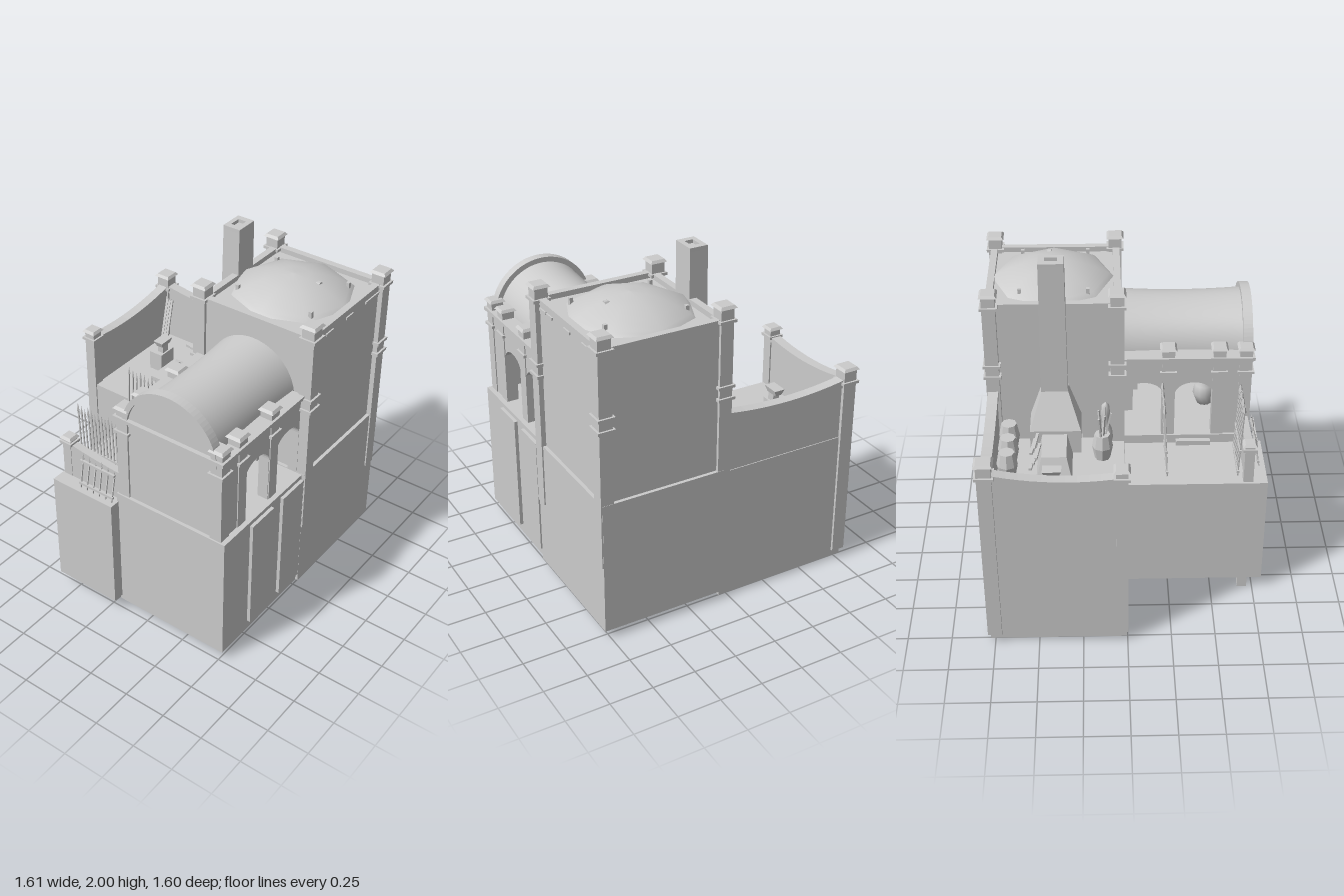
import * as THREE from 'three';

const mat = new THREE.MeshStandardMaterial({ color: 0xcccccc, flatShading: true, side: THREE.DoubleSide });
const smooth = new THREE.MeshStandardMaterial({ color: 0xcccccc, side: THREE.DoubleSide });

export function createModel() {
  const root = new THREE.Group();
  const add = (name, geo, x = 0, y = 0, z = 0, m = mat) => {
    const mesh = new THREE.Mesh(geo, m);
    mesh.name = name;
    mesh.position.set(x, y, z);
    root.add(mesh);
    return mesh;
  };
  // Box from its limits
  const box = (name, x0, x1, y0, y1, z0, z1) =>
    add(name, new THREE.BoxGeometry(x1 - x0, y1 - y0, z1 - z0), (x0 + x1) / 2, (y0 + y1) / 2, (z0 + z1) / 2);
  // Box without its underside
  const shell = (...a) => {
    const mesh = box(...a);
    const idx = Array.from(mesh.geometry.index.array);
    mesh.geometry.clearGroups();
    mesh.geometry.setIndex(idx.filter((_, i) => i < 18 || i >= 24));
    return mesh;
  };
  // Four-sided frustum with its own top and bottom rectangles [x0, x1, z0, z1]
  const frustum = (name, b, y0, t, y1) => {
    const g = new THREE.BoxGeometry(1, 1, 1), p = g.attributes.position;
    for (let i = 0; i < p.count; i++) {
      const up = p.getY(i) > 0, r = up ? t : b;
      p.setXYZ(i, p.getX(i) < 0 ? r[0] : r[1], up ? y1 : y0, p.getZ(i) < 0 ? r[2] : r[3]);
    }
    g.computeVertexNormals();
    return add(name, g);
  };
  // Thin square bar between two points
  const bar = (name, a, b, w = 0.008) => {
    const va = new THREE.Vector3(...a), vb = new THREE.Vector3(...b);
    const m = add(name, new THREE.BoxGeometry(w, w, va.distanceTo(vb)));
    m.position.copy(va).add(vb).multiplyScalar(0.5);
    m.lookAt(vb);
    return m;
  };
  // Square pillar with bands and a bevelled cap
  const pillar = (name, x, z, y0, y1, w, bands) => {
    const h = w / 2, c = h + 0.012;
    box(name, x - h, x + h, y0, y1 - 0.015, z - h, z + h);
    frustum(name + 'Cap', [x - c, x + c, z - c, z + c], y1 - 0.015, [x - h, x + h, z - h, z + h], y1);
    bands.forEach(y => box(name + 'Band', x - c, x + c, y - 0.008, y + 0.008, z - c, z + c));
  };

  // Foundations, open underneath
  shell('towerBase', 0.05, 0.78, 0.05, 0.84, -0.785, 0);
  shell('hallBase', 0.045, 0.765, 0.05, 0.835, 0, 0.735);
  shell('courtyardBase', -0.775, 0.06, 0.02, 0.82, -0.775, -0.005);
  shell('terraceBase', -0.36, 0.055, 0.08, 0.78, 0, 0.8);
  for (const [z0, z1] of [[0.01, 0.21], [0.3, 0.5]]) box('basePanel', 0.74, 0.785, 0.11, 0.81, z0, z1);
  box('basePanel', 0.015, 0.06, 0.11, 0.81, 0.3, 0.5);

  // Tower with parapet and corner pillars
  box('tower', 0.05, 0.76, 0.84, 1.69, -0.765, -0.02);
  for (const [x0, x1, z0, z1] of [[0.045, 0.765, -0.77, -0.73], [0.045, 0.765, -0.055, -0.015],
    [0.045, 0.085, -0.77, -0.015], [0.725, 0.765, -0.77, -0.015]])
    box('parapet', x0, x1, 1.69, 1.72, z0, z1);
  for (const x of [0.05, 0.75]) for (const z of [-0.745, -0.04])
    pillar('towerPillar', x, z, 0.46, 1.795, 0.076, [1.34, 1.27, 1.71]);
  for (const z of [-0.12, -0.2, -0.4, -0.6, -0.67]) {
    box('wallVent', 0.755, 0.768, 1.66, 1.675, z - 0.035, z + 0.035);
  }

  // Low dome
  const domeLine = [[0.345, 1.70], [0.32, 1.72], [0.25, 1.755], [0.17, 1.785], [0.09, 1.803], [0, 1.81]];
  add('dome', new THREE.LatheGeometry(domeLine.map(p => new THREE.Vector2(...p)), 8), 0.4, 0, -0.4, smooth);
  frustum('domeHatch', [0.48, 0.56, -0.45, -0.39], 1.76, [0.54, 0.56, -0.43, -0.41], 1.795);
  for (const x of [0.17, 0.64]) for (const z of [-0.58, -0.2]) box('roofPeg', x - 0.01, x + 0.01, 1.69, 1.75, z - 0.01, z + 0.01);

  // Hall side walls with two arched openings each
  const side = new THREE.Shape();
  side.moveTo(-0.02, 0.83).lineTo(0.72, 0.83).lineTo(0.72, 1.35).lineTo(-0.02, 1.35).closePath();
  for (const c of [0.11, 0.4]) {
    const hole = new THREE.Path();
    hole.moveTo(c - 0.11, 0.835).lineTo(c + 0.11, 0.835).lineTo(c + 0.11, 1.11);
    hole.absellipse(c, 1.11, 0.11, 0.08, 0, Math.PI, false, 0);
    hole.lineTo(c - 0.11, 0.835);
    side.holes.push(hole);
  }
  for (const x of [0.12, 0.73]) {
    const g = new THREE.ExtrudeGeometry(side, { depth: 0.06, bevelEnabled: false, curveSegments: 10 });
    g.rotateY(-Math.PI / 2);
    add('arcadeWall', g, x, 0, 0);
  }

  // Hall front wall, its round gable and the barrel vault
  const gable = new THREE.Shape();
  gable.moveTo(0.06, 0.83).lineTo(0.73, 0.83).lineTo(0.73, 1.35).lineTo(0.7, 1.35);
  gable.absarc(0.4, 1.31, 0.3, 0.13, Math.PI - 0.13, false);
  gable.lineTo(0.06, 1.35).closePath();
  add('frontWall', new THREE.ExtrudeGeometry(gable, { depth: 0.035, bevelEnabled: false, curveSegments: 20 }), 0, 0, 0.68);
  const rim = new THREE.Shape();
  rim.absarc(0.4, 1.31, 0.305, 0, Math.PI, false);
  rim.absarc(0.4, 1.31, 0.275, Math.PI, 0, true);
  add('gableRim', new THREE.ExtrudeGeometry(rim, { depth: 0.055, bevelEnabled: false, curveSegments: 20 }), 0, 0, 0.675);
  const vault = new THREE.CylinderGeometry(0.275, 0.275, 0.7, 24, 8, true, -Math.PI / 2, Math.PI);
  vault.rotateX(-Math.PI / 2);
  const vp = vault.attributes.position;
  for (let i = 0; i < vp.count; i++) {
    const k = 1 - 0.045 * (1 - (vp.getZ(i) / 0.35) ** 2);
    vp.setXY(i, vp.getX(i) * k, Math.abs(vp.getY(i)) * k);
  }
  vault.computeVertexNormals();
  add('barrelVault', vault, 0.4, 1.31, 0.33, smooth);
  for (const [x0, x1] of [[0.04, 0.15], [0.65, 0.75]]) box('cornice', x0, x1, 1.34, 1.36, -0.01, 0.74);
  box('cornice', 0.04, 0.75, 1.34, 1.36, 0.7, 0.74);

  // Hall pillars
  for (const x of [0.09, 0.7]) for (const z of [0.25, 0.54, 0.69])
    pillar('hallPillar', x, z, 0.83, 1.42, 0.072, [1.35, 1.26]);

  // Vessel and post inside the hall
  const urnLine = [[0, 0], [0.045, 0], [0.07, 0.07], [0.06, 0.13], [0.03, 0.17], [0.045, 0.23], [0.035, 0.29], [0, 0.31]];
  const urn = (name, x, y, z, s, h) => {
    const line = urnLine.map(([r, v]) => new THREE.Vector2(r * s, v * h));
    add(name, new THREE.LatheGeometry(line, 12), x, y, z, smooth);
  };
  urn('hallUrn', 0.4, 0.835, 0.49, 1, 1);
  box('hallCupboard', 0.3, 0.5, 0.84, 1.15, 0, 0.055);
  box('cupboardShelf', 0.36, 0.44, 0.95, 0.99, 0.05, 0.085);

  // Courtyard walls with sagging tops
  const sagging = (a, b, y0, ya, mid, yb, depth) => {
    const s = new THREE.Shape();
    s.moveTo(a, y0).lineTo(b, y0).lineTo(b, yb);
    s.quadraticCurveTo((a + b) / 2, mid, a, ya);
    return new THREE.ExtrudeGeometry(s, { depth, bevelEnabled: false, curveSegments: 12 });
  };
  add('backWall', sagging(-0.76, 0.05, 0.8, 1.175, 1.1, 1.17, 0.045), 0, 0, -0.77);
  add('backWallCoping', sagging(-0.76, 0.05, 1.13, 1.185, 1.11, 1.18, 0.06), 0, 0, -0.778);
  add('sideWall', sagging(-0.76, -0.02, 0.8, 1.175, 1.08, 1.14, 0.045).rotateY(-Math.PI / 2), -0.73, 0, 0);
  add('sideWallCoping', sagging(-0.76, -0.02, 1.11, 1.185, 1.09, 1.15, 0.06).rotateY(-Math.PI / 2), -0.724, 0, 0);
  pillar('courtyardPost', -0.755, -0.75, 0.06, 1.25, 0.08, [1.16]);
  pillar('courtyardPost', -0.755, -0.03, 0.06, 1.2, 0.066, [1.14]);

  // Forge: plinth, hearth, hood and chimney
  box('forgePlinth', -0.49, 0.05, 0.82, 0.85, -0.545, -0.245);
  frustum('hearth', [-0.41, -0.1, -0.5, -0.3], 0.85, [-0.36, -0.1, -0.47, -0.33], 0.98);
  box('hoodSkirt', -0.14, 0.05, 0.85, 1.0, -0.54, -0.25);
  frustum('hood', [-0.14, 0.05, -0.54, -0.25], 1.0, [-0.03, 0.05, -0.47, -0.32], 1.2);
  frustum('chimney', [-0.035, 0.085, -0.475, -0.32], 0.85, [-0.022, 0.085, -0.465, -0.325], 1.98);
  const flue = new THREE.Shape([[-0.022, -0.465], [0.085, -0.465], [0.085, -0.325], [-0.022, -0.325]].map(p => new THREE.Vector2(...p)));
  flue.holes.push(new THREE.Path([[0.005, -0.43], [0.005, -0.36], [0.055, -0.36], [0.055, -0.43]].map(p => new THREE.Vector2(...p))));
  add('chimneyRim', new THREE.ExtrudeGeometry(flue, { depth: 0.02, bevelEnabled: false }).rotateX(Math.PI / 2), 0, 2, 0);

  // Anvil on a block
  box('anvilBlock', -0.58, -0.49, 0.82, 0.94, -0.47, -0.35);
  box('anvilFoot', -0.54, -0.5, 0.94, 0.985, -0.43, -0.38);
  frustum('anvilTop', [-0.54, -0.5, -0.45, -0.37], 0.985, [-0.555, -0.49, -0.46, -0.355], 1.02);

  // Barrels, jars and loose timber
  const barrelLine = [[0, 0], [0.045, 0], [0.06, 0.08], [0.045, 0.16], [0, 0.16]].map(p => new THREE.Vector2(...p));
  for (const x of [-0.305, -0.165, -0.025]) add('barrel', new THREE.LatheGeometry(barrelLine, 8), x, 0.82, -0.665);
  add('toolBarrel', new THREE.LatheGeometry(barrelLine, 8), -0.14, 0.82, -0.13);
  for (let i = 0; i < 5; i++)
    bar('tool', [-0.15 + i * 0.008, 0.88, -0.13], [-0.2 + i * 0.03, 1.12, -0.15 + (i % 3) * 0.035], 0.01);
  urn('jar', -0.04, 0.82, -0.11, 0.6, 1);
  for (let i = 0; i < 5; i++) {
    const x = -0.43 + i * 0.04, z = -0.53 + (i % 3) * 0.014;
    bar('plank', [x, 0.95 + i * 0.006, z], [x + 0.13, 0.96 + i * 0.006, z + 0.02], 0.016);
  }
  for (let i = 0; i < 3; i++) bar('leaningPlank', [-0.68 + i * 0.018, 0.82, -0.59], [-0.71 + i * 0.018, 1.1, -0.7], 0.014);

  // Terrace gate post, low wall and spear racks
  pillar('terracePost', -0.32, 0.69, 0, 1.04, 0.056, [1.0]);
  add('terraceWall', sagging(-0.3, 0.05, 0.78, 1.0, 0.97, 0.96, 0.045), 0, 0, 0.67);
  const rack = (x0, x1, z, y0, y1, n, lean) => {
    for (const y of [y0 + 0.03, y0 + 0.17]) {
      const zz = z - lean * (y - y0) / (y1 - y0);
      bar('rackRail', [x0 - 0.01, y, zz], [x1 + 0.01, y, zz], 0.014);
    }
    for (let i = 0; i < n; i++) {
      const x = x0 + (x1 - x0) * i / (n - 1), t = y1 - (i % 3) * 0.012;
      bar('spear', [x, y0, z], [x + 0.004, t - 0.03, z - lean], 0.007);
      add('spearTip', new THREE.ConeGeometry(0.009, 0.05, 4), x + 0.004, t - 0.02, z - lean);
    }
  };
  rack(-0.28, 0.02, 0.235, 0.78, 1.25, 12, 0.02);
  rack(-0.28, -0.02, 0.635, 0.78, 1.25, 12, -0.02);
  rack(-0.19, 0.03, 0.765, 0.78, 1.0, 6, 0.03);
  return root;
}
